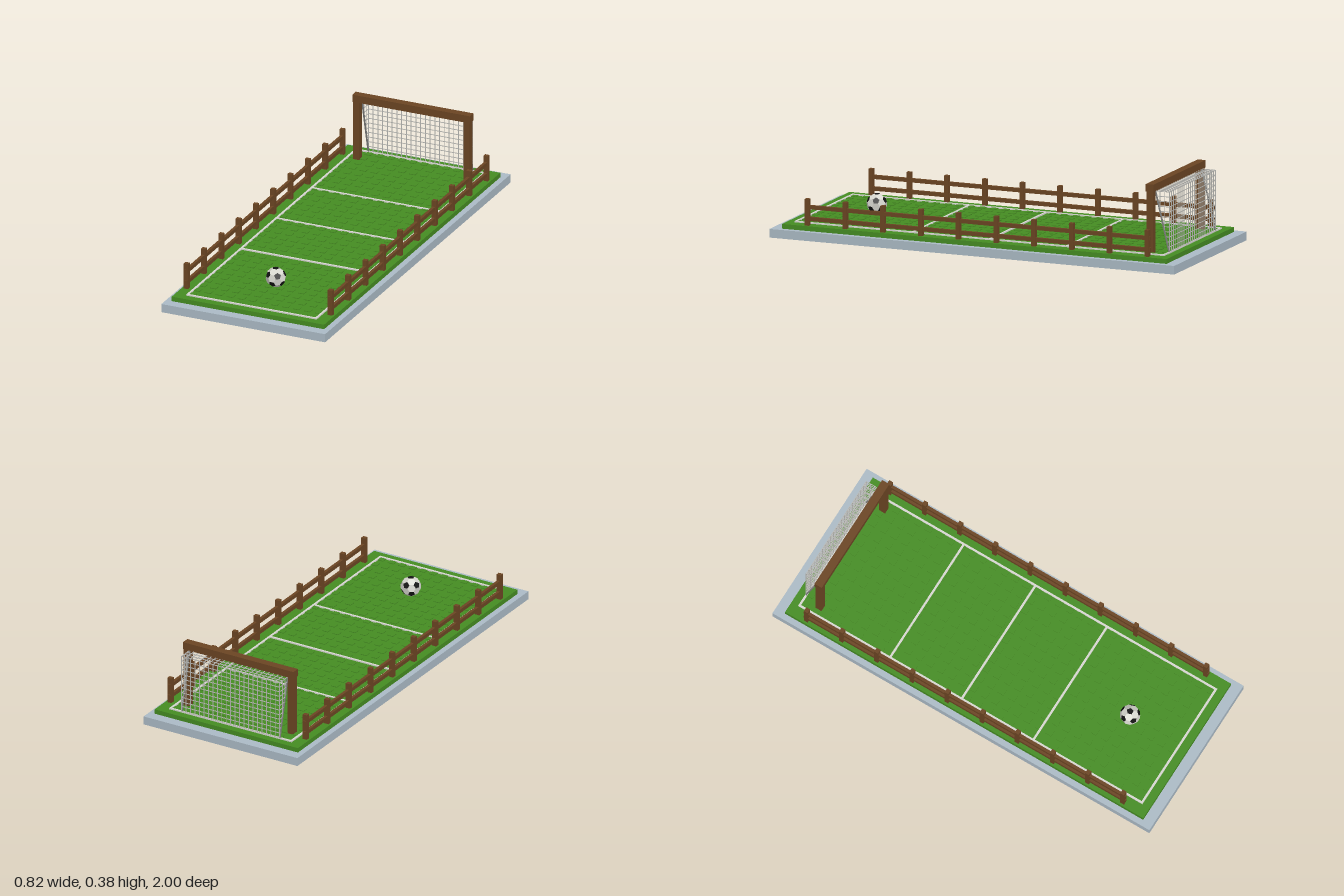
import * as THREE from 'three';
import { mergeGeometries } from 'three/addons/utils/BufferGeometryUtils.js';

const mat = (name, color) => new THREE.MeshStandardMaterial({ name, color });

// Box from its min and max corners
function box(x0, x1, y0, y1, z0, z1) {
  return new THREE.BoxGeometry(x1 - x0, y1 - y0, z1 - z0)
    .translate((x0 + x1) / 2, (y0 + y1) / 2, (z0 + z1) / 2);
}

// Thin square strand between two points
function strand(a, b, w) {
  const d = b.clone().sub(a);
  const g = new THREE.BoxGeometry(w, w, d.length());
  const q = new THREE.Quaternion().setFromUnitVectors(new THREE.Vector3(0, 0, 1), d.normalize());
  return g.applyQuaternion(q).translate((a.x + b.x) / 2, (a.y + b.y) / 2, (a.z + b.z) / 2);
}

// Truncated icosahedron: hexagons from the faces, pentagons from the corners
function ballPanels(radius) {
  const ico = new THREE.IcosahedronGeometry(1, 0);
  ico.rotateX(-Math.atan2((1 + Math.sqrt(5)) / 2, 1)).rotateY(Math.PI / 5);
  const p = ico.attributes.position, hexes = [], pents = [];
  const third = (a, b) => a.clone().lerp(b, 1 / 3);
  for (let i = 0; i < p.count; i += 3) {
    const v = [0, 1, 2].map(k => new THREE.Vector3().fromBufferAttribute(p, i + k));
    const centre = v[0].clone().add(v[1]).add(v[2]).divideScalar(3);
    const rim = [];
    for (let k = 0; k < 3; k++) {
      const a = v[k], b = v[(k + 1) % 3], c = v[(k + 2) % 3];
      rim.push(third(a, b), third(b, a));
      pents.push(a.clone().multiplyScalar((2 + 1 / Math.sqrt(5)) / 3), third(a, b), third(a, c));
    }
    rim.forEach((r, k) => hexes.push(centre, r, rim[(k + 1) % 6]));
  }
  const scale = radius / third(...[0, 1].map(k => new THREE.Vector3().fromBufferAttribute(p, k))).length();
  return [hexes, pents].map(points => {
    const g = new THREE.BufferGeometry().setFromPoints(points).scale(scale, scale, scale);
    g.computeVertexNormals();
    return g;
  });
}

export function createModel() {
  const group = new THREE.Group();
  const stone = mat('stone', 0xabbac5), grass = mat('grass', 0x458c22);
  const wood = mat('wood', 0x6b4523), chalk = mat('chalk', 0xd6d6d0);
  const cord = mat('netCord', 0xb8b8b4), steel = mat('steel', 0x80807e);
  const white = mat('ballWhite', 0xd8d8d0), black = mat('ballBlack', 0x121212);
  const add = (name, geos, material, parent = group) => {
    const mesh = new THREE.Mesh(Array.isArray(geos) ? mergeGeometries(geos) : geos, material);
    mesh.name = name;
    parent.add(mesh);
    return mesh;
  };

  // Ground slab and lawn
  add('baseSlab', box(-0.408, 0.408, 0, 0.04, -1, 1), stone);
  add('lawn', box(-0.38, 0.38, 0.03, 0.062, -0.95, 0.95), grass);

  // Low square tufts in a grid
  const tufts = [];
  for (let i = 0; i < 12; i++) for (let j = 0; j < 32; j++) {
    const x = (i - 5.5) * 0.055, z = (j - 15.5) * 0.0575;
    tufts.push(box(x - 0.015, x + 0.015, 0.06, 0.0655, z - 0.015, z + 0.015));
  }
  add('grassTufts', tufts, grass);

  // Pitch markings
  const lines = [];
  for (const z of [-0.91, -0.43, -0.05, 0.33, 0.907])
    lines.push(box(-0.325, 0.325, 0.062, 0.068, z - 0.005, z + 0.005));
  for (const x of [-0.32, 0.32])
    lines.push(box(x - 0.005, x + 0.005, 0.062, 0.068, -0.91, 0.907));
  add('pitchLines', lines, chalk);

  // Fences on both sides
  for (const side of [1, -1]) {
    const fence = new THREE.Group();
    fence.name = side > 0 ? 'leftFence' : 'rightFence';
    const x = side * 0.359, posts = [];
    for (let i = 0; i < 10; i++) {
      const z = 0.832 - i * 0.1865;
      posts.push(box(x - 0.011, x + 0.011, 0.06, 0.185, z - 0.01, z + 0.01));
    }
    add('fencePosts', posts, wood, fence);
    add('fenceRails', [0.093, 0.147].map(y =>
      box(x - 0.007, x + 0.007, y - 0.009, y + 0.009, -0.862, 0.845)), wood, fence);
    group.add(fence);
  }

  // Goal frame
  const goal = new THREE.Group();
  goal.name = 'goal';
  group.add(goal);
  for (const s of [1, -1])
    add('goalPost', box(s * 0.2755 - 0.0155, s * 0.2755 + 0.0155, 0.06, 0.346, -0.844, -0.812), wood, goal);
  add('crossbar', box(-0.293, 0.293, 0.345, 0.38, -0.847, -0.809), wood, goal);

  // Net: back, roof and sides that end at the slanted stays
  const V = (x, y, z) => new THREE.Vector3(x, y, z);
  const net = [], w = 0.003, top = 0.345, low = 0.068, back = -0.912, front = -0.843, half = 0.26;
  const stayZ = y => back + (front - back) * (y - low) / (top - low);
  for (let i = 0; i <= 22; i++) {
    const x = -half + (2 * half * i) / 22;
    net.push(strand(V(x, low, back), V(x, top, back), w), strand(V(x, top, back), V(x, top, front), w));
  }
  for (let j = 0; j <= 12; j++) {
    const y = low + (top - low) * j / 12;
    net.push(strand(V(-half, y, back), V(half, y, back), w));
    if (j > 0) for (const x of [-half, half]) net.push(strand(V(x, y, back), V(x, y, stayZ(y)), w));
  }
  for (let k = 1; k <= 3; k++) {
    const z = back + (front - back) * k / 3;
    net.push(strand(V(-half, top, z), V(half, top, z), w));
    if (k < 3) for (const x of [-half, half])
      net.push(strand(V(x, low + (top - low) * k / 3, z), V(x, top, z), w));
  }
  add('goalNet', net, cord, goal);
  add('netStays', [-half, half].map(x => strand(V(x, low - 0.005, back), V(x, top, front), 0.006)), steel, goal);

  // Ball
  const ball = new THREE.Group();
  ball.name = 'ball';
  const [hexes, pents] = ballPanels(0.047);
  add('whitePanels', hexes, white, ball);
  add('blackPanels', pents, black, ball);
  ball.position.set(0, 0.109, 0.648);
  group.add(ball);

  return group;
}
